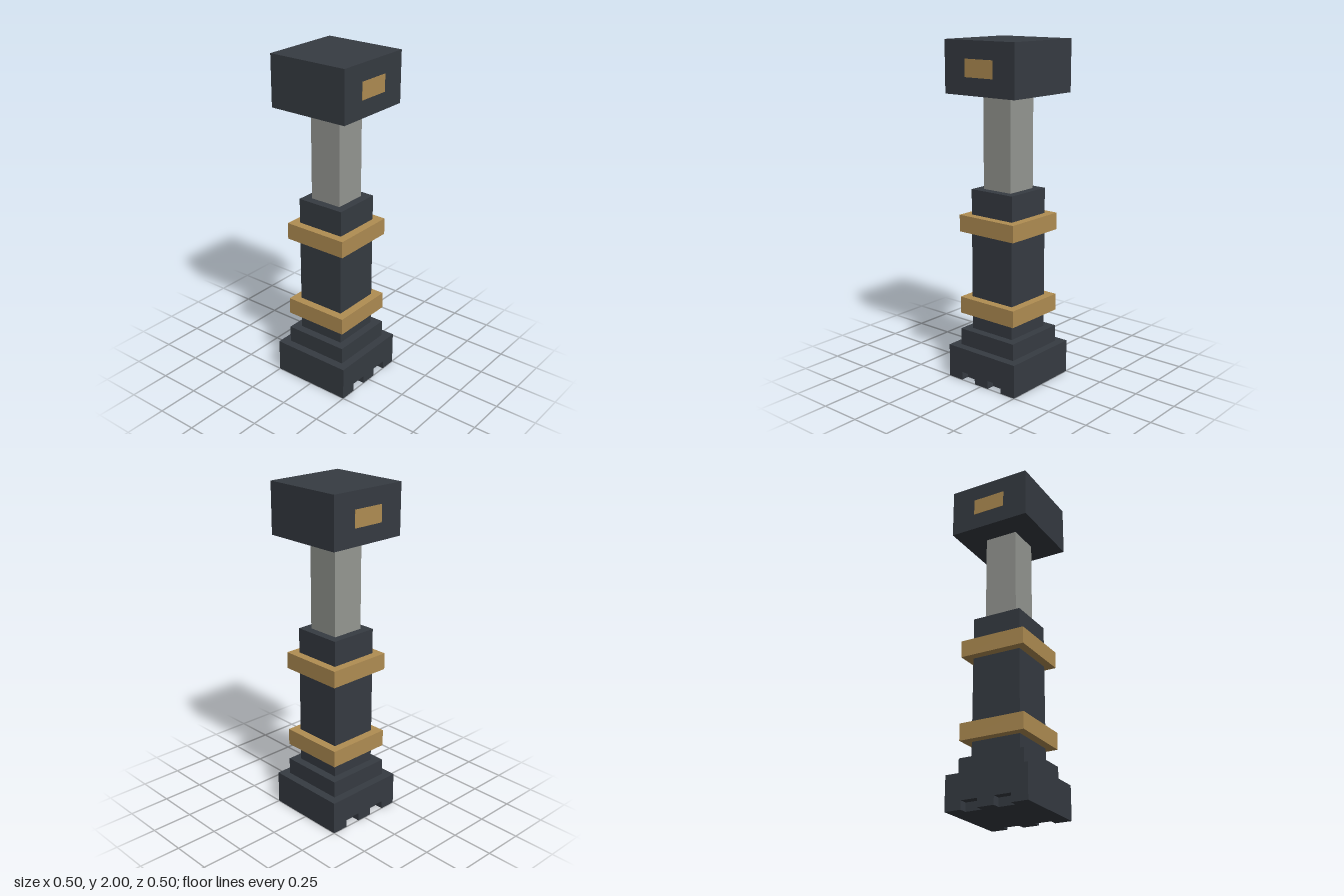
import * as THREE from 'three';

const darkMetal = new THREE.MeshStandardMaterial({ name: 'darkMetal', color: 0x363b42 });
const brass = new THREE.MeshStandardMaterial({ name: 'brass', color: 0xb08d52 });
const steel = new THREE.MeshStandardMaterial({ name: 'steel', color: 0x959792 });

export function createModel() {
  const group = new THREE.Group();

  const add = (name, geometry, material) => {
    const mesh = new THREE.Mesh(geometry, material);
    mesh.name = name;
    group.add(mesh);
    return mesh;
  };
  // square block of the given width between two heights
  const block = (name, width, y0, y1, material) => {
    const mesh = add(name, new THREE.BoxGeometry(width, y1 - y0, width), material);
    mesh.position.y = (y0 + y1) / 2;
  };

  // foot: slab with two notches cut into each side, under a solid block
  const depth = 0.05;
  const outline = [[-0.25, -0.25], [0.25, -0.25]];
  for (const s of [1, -1]) {
    for (const z of [-0.1, 0.1]) {
      const a = s * (z - 0.05), b = s * (z + 0.05);
      const outer = s * 0.25, inner = s * (0.25 - depth);
      outline.push([outer, a], [inner, a], [inner, b], [outer, b]);
    }
    if (s === 1) outline.push([0.25, 0.25], [-0.25, 0.25]);
  }
  const footShape = new THREE.Shape(outline.map(([x, z]) => new THREE.Vector2(x, z)));
  const footGeometry = new THREE.ExtrudeGeometry(footShape, { depth: 0.05, bevelEnabled: false });
  footGeometry.rotateX(-Math.PI / 2);
  add('notchedFoot', footGeometry, darkMetal);
  block('base', 0.5, 0.05, 0.2, darkMetal);
  block('baseStep', 0.4, 0.2, 0.3, darkMetal);

  // sleeve with two bands, and the rod rising out of it
  block('sleeve', 0.3, 0.3, 1.15, darkMetal);
  block('lowerBand', 0.4, 0.4, 0.5, brass);
  block('upperBand', 0.4, 0.9, 1.0, brass);
  block('rod', 0.2, 1.15, 1.7, steel);

  // head with an inlaid plate on each side
  block('head', 0.5, 1.7, 2.0, darkMetal);
  for (const s of [1, -1]) {
    const plate = add(s > 0 ? 'leftPlate' : 'rightPlate', new THREE.BoxGeometry(0.004, 0.1, 0.2), brass);
    plate.position.set(s * 0.25, 1.85, 0);
  }
  return group;
}
